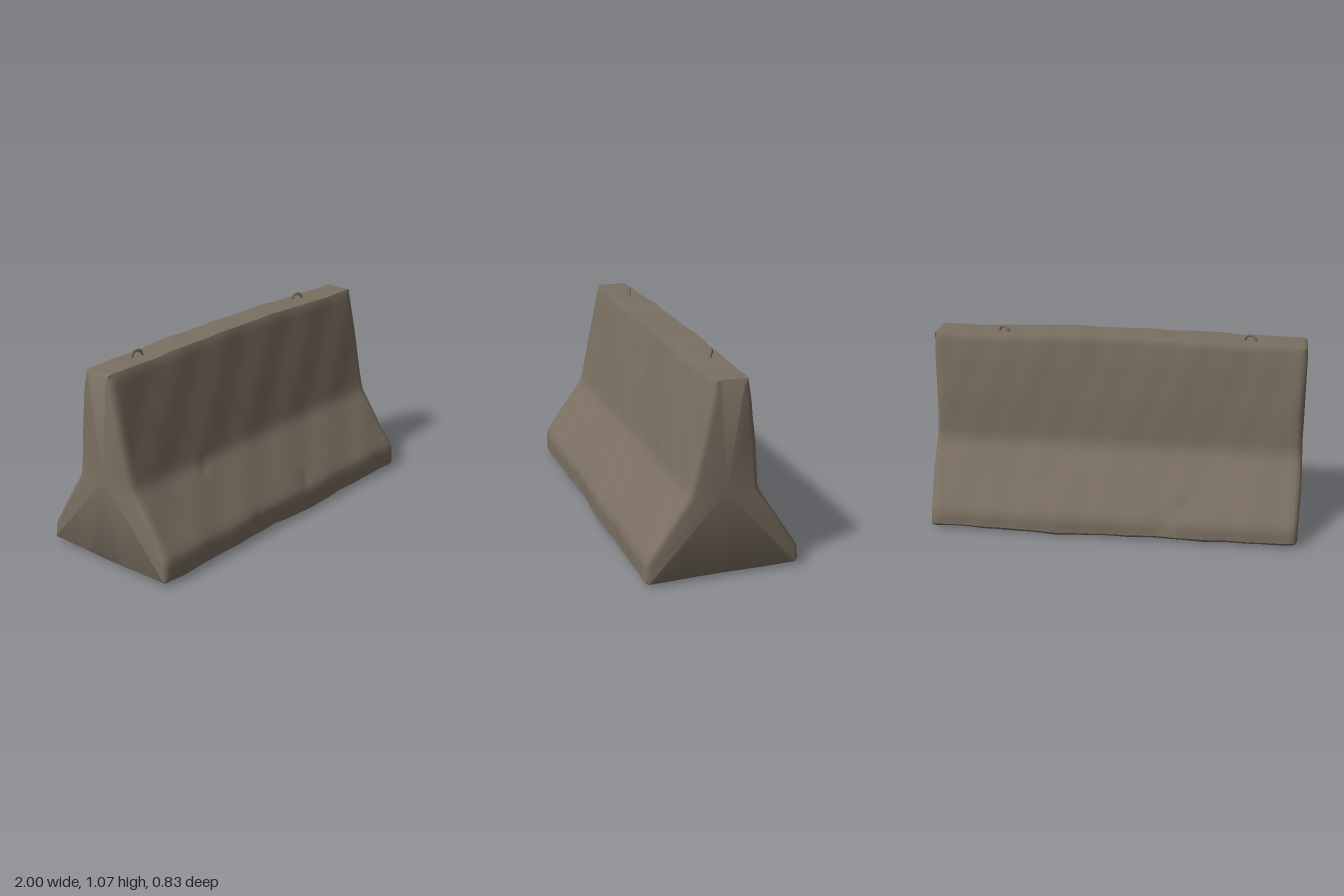
import * as THREE from 'three';
import { toCreasedNormals } from 'three/addons/utils/BufferGeometryUtils.js';

// Cross-section as [z, y]: up the front, over the top, down the back
const PROFILE = [
  [0.395, 0.018], [0.408, 0.03], [0.408, 0.125], [0.395, 0.155], [0.19, 0.44], [0.178, 0.475],
  [0.125, 0.74], [0.065, 1.015], [0.054, 1.036], [-0.105, 1.036], [-0.117, 1.022],
  [-0.137, 0.9], [-0.16, 0.7], [-0.176, 0.47], [-0.19, 0.43], [-0.385, 0.135], [-0.403, 0.1],
  [-0.408, 0.035], [-0.39, 0.018],
];

// Small hollows in the surface: x, y, z, radius, depth
const DENTS = [
  [-0.47, 0.42, 0.2, 0.03, 0.012], [-0.28, 0.1, 0.41, 0.035, 0.012], [0.18, 0.18, 0.38, 0.03, 0.01],
  [-0.1, 0.03, 0.41, 0.12, 0.012], [-0.4, 0.2, -0.34, 0.05, 0.012], [-0.3, 0.12, -0.4, 0.06, 0.012],
  [0.35, 0.3, -0.28, 0.05, 0.008],
];

// Evenly subdivided closed ring with outward normals
function makeRing(step) {
  const ring = [];
  PROFILE.forEach((a, i) => {
    const b = PROFILE[(i + 1) % PROFILE.length];
    const n = Math.max(1, Math.round(Math.hypot(b[0] - a[0], b[1] - a[1]) / step));
    for (let k = 0; k < n; k++) {
      ring.push({ z: a[0] + (b[0] - a[0]) * k / n, y: a[1] + (b[1] - a[1]) * k / n });
    }
  });
  ring.forEach((p, i) => {
    const a = ring[(i + ring.length - 1) % ring.length], b = ring[(i + 1) % ring.length];
    const len = Math.hypot(b.z - a.z, b.y - a.y);
    p.nz = (b.y - a.y) / len;
    p.ny = -(b.z - a.z) / len;
  });
  return ring;
}

// Gentle unevenness of cast concrete
function unevenness(x, y, z) {
  let d = 0.0025 * Math.sin(7 * x + 5 * y + 3 * z) + 0.002 * Math.sin(17 * x - 9 * y + 8 * z)
    + 0.0012 * Math.sin(31 * x + 13 * y - 11 * z);
  for (const [dx, dy, dz, r, depth] of DENTS) {
    d -= depth * Math.exp(-((x - dx) ** 2 + (y - dy) ** 2 + (z - dz) ** 2) / (r * r));
  }
  return d;
}

function barrierGeometry() {
  const ring = makeRing(0.035), count = ring.length;
  // Stations along the length as [x, inset]; the ends are rounded off
  const stations = [[-0.995, 0.03], [-0.992, 0.018], [-0.982, 0.007]];
  for (let i = 0; i <= 70; i++) stations.push([-0.965 + 1.93 * i / 70, 0]);
  stations.push([0.982, 0.007], [0.992, 0.018], [0.995, 0.03]);

  const positions = [], index = [];
  for (const [x, inset] of stations) {
    for (const p of ring) {
      const d = unevenness(x, p.y, p.z) - inset * (p.ny > 0.8 || p.ny < -0.8 ? 0.4 : 1);
      const crown = 0.014 * Math.max(0, Math.cos(x * Math.PI / 1.3)) * Math.max(0, p.y - 0.5) * 2;
      const sag = p.y < 0.05 ? -0.009 * Math.exp(-(((x - 0.25) / 0.3) ** 2)) : 0;
      const endWave = 0.004 * Math.sin(p.y * 9 + p.z * 6) * Math.sign(x) * (Math.abs(x) > 0.98 ? 1 : 0);
      positions.push(x + endWave, Math.max(0, p.y + p.ny * d + crown + sag), p.z + p.nz * d);
    }
  }
  for (let s = 0; s < stations.length - 1; s++) {
    for (let i = 0; i < count; i++) {
      const j = (i + 1) % count, a = s * count, b = a + count;
      index.push(a + i, b + i, b + j, a + i, b + j, a + j);
    }
  }
  // End faces, fanned from a point at waist height
  const last = (stations.length - 1) * count, centre = positions.length / 3;
  positions.push(-0.997, 0.46, -0.005, 0.997, 0.46, -0.005);
  for (let i = 0; i < count; i++) {
    const j = (i + 1) % count;
    index.push(centre, i, j, centre + 1, last + j, last + i);
  }
  const geometry = new THREE.BufferGeometry();
  geometry.setAttribute('position', new THREE.Float32BufferAttribute(positions, 3));
  geometry.setIndex(index);
  return toCreasedNormals(geometry, 0.6);
}

// Bent bar whose legs run down into the concrete
function liftingLoopGeometry() {
  const path = new THREE.CatmullRomCurve3([
    [-0.034, -0.03], [-0.031, 0.005], [-0.021, 0.027], [0, 0.036],
    [0.021, 0.027], [0.031, 0.005], [0.034, -0.03],
  ].map(([x, y]) => new THREE.Vector3(x, y, 0)));
  return new THREE.TubeGeometry(path, 24, 0.008, 8);
}

export function createModel() {
  const model = new THREE.Group();
  model.name = 'concreteBarrier';
  const concrete = new THREE.MeshStandardMaterial({ color: 0x7a6f61 });
  concrete.name = 'concrete';

  const body = new THREE.Mesh(barrierGeometry(), concrete);
  body.name = 'barrierBody';
  model.add(body);

  // Lifting loops on the top, each slightly turned
  const loop = liftingLoopGeometry();
  [['rightLiftingLoop', -0.695, -0.045, -0.24], ['leftLiftingLoop', 0.625, -0.055, -0.45]]
    .forEach(([name, x, z, turn]) => {
      const mesh = new THREE.Mesh(loop, concrete);
      mesh.name = name;
      mesh.position.set(x, 1.031, z);
      mesh.rotation.y = turn;
      model.add(mesh);
    });
  return model;
}
